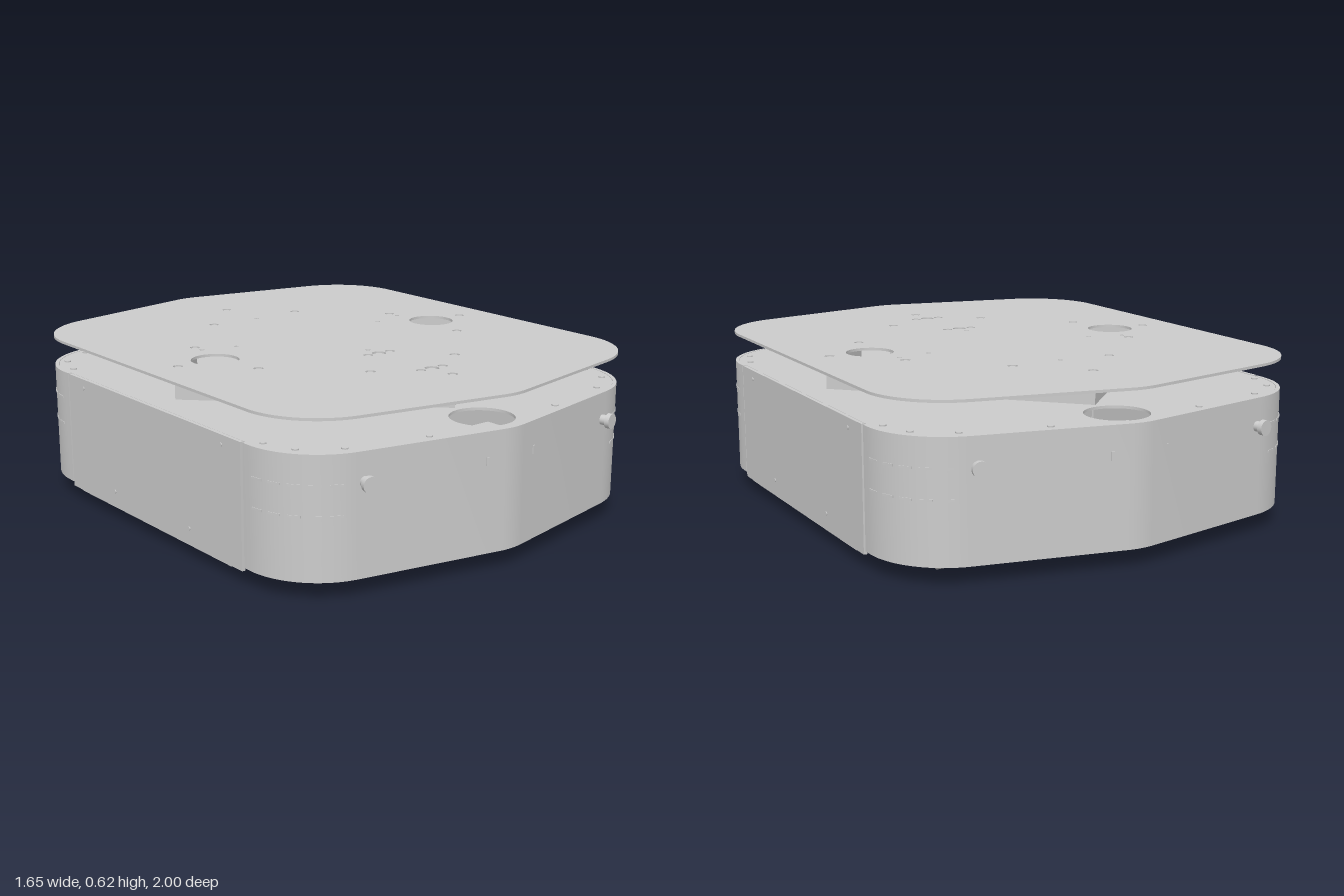
import * as THREE from 'three';
import { toCreasedNormals } from 'three/addons/utils/BufferGeometryUtils.js';

const grey = new THREE.MeshStandardMaterial({ color: 0xcccccc, side: THREE.DoubleSide });
const UP = new THREE.Vector3(0, 1, 0);
const HALF = 0.82, CORNER_R = 0.29, CORNER_Z = 0.602, TIP_R = 0.25, SLOPE = 0.199;

function add(parent, name, geometry, x = 0, y = 0, z = 0) {
  const mesh = new THREE.Mesh(geometry, grey);
  mesh.name = name;
  mesh.position.set(x, y, z);
  parent.add(mesh);
  return mesh;
}

function box(parent, name, w, h, d, x, y, z) {
  return add(parent, name, new THREE.BoxGeometry(w, h, d), x, y, z);
}

// cylinder whose axis points along dir
function rod(parent, name, r, length, pos, dir = UP, sides = 20) {
  const mesh = add(parent, name, new THREE.CylinderGeometry(r, r, length, sides), ...pos);
  mesh.quaternion.setFromUnitVectors(UP, dir.clone().normalize());
  return mesh;
}

// flat plate: shape drawn in (x, z), extruded downward from yTop
function slab(parent, name, shape, yTop, thickness) {
  const flat = new THREE.ExtrudeGeometry(shape, { depth: thickness, bevelEnabled: false, curveSegments: 28 });
  flat.rotateX(Math.PI / 2);
  return add(parent, name, toCreasedNormals(flat, Math.PI / 6), 0, yTop, 0);
}

function hole(shape, x, z, r) {
  shape.holes.push(new THREE.Path().absarc(x, z, r, 0, Math.PI * 2, true));
}

function arc(cx, cz, r, from, to, n) {
  return Array.from({ length: n + 1 }, (_, i) => {
    const a = from + (to - from) * i / n;
    return new THREE.Vector2(cx + r * Math.cos(a), cz + r * Math.sin(a));
  });
}

// front half of the outline, running from +x round the tip to -x
function frontCurve(inset, startZ) {
  const a = Math.PI / 2 - SLOPE;
  const right = arc(HALF - CORNER_R, CORNER_Z, CORNER_R - inset, 0, a, 20);
  const tip = arc(0, 1 - TIP_R, TIP_R - inset, a, Math.PI - a, 8);
  const left = right.map(p => new THREE.Vector2(-p.x, p.y)).reverse();
  return [new THREE.Vector2(HALF - inset, startZ), ...right, ...tip, ...left,
    new THREE.Vector2(inset - HALF, startZ)];
}

function fullOutline(inset) {
  const front = frontCurve(inset, 0.3);
  return new THREE.Shape([...front, ...front.map(p => new THREE.Vector2(-p.x, -p.y))]);
}

// mecanum wheel with its axle along x
function makeWheel(hand) {
  const wheel = new THREE.Group();
  wheel.name = 'wheel';
  const X = new THREE.Vector3(1, 0, 0);
  rod(wheel, 'wheelHub', 0.06, 0.15, [0, 0, 0], X, 28);
  for (const s of [-1, 1]) {
    rod(wheel, 'wheelSidePlate', 0.095, 0.012, [s * 0.068, 0, 0], X, 32);
    rod(wheel, 'axleNut', 0.025, 0.02, [s * 0.082, 0, 0], X, 6);
  }
  const profile = [[0, -0.075], [0.017, -0.075], [0.026, -0.035], [0.03, 0], [0.026, 0.035], [0.017, 0.075], [0, 0.075]]
    .map(p => new THREE.Vector2(...p));
  const roller = toCreasedNormals(new THREE.LatheGeometry(profile, 16), Math.PI / 4);
  for (let i = 0; i < 9; i++) {
    const t = Math.PI + i * Math.PI * 2 / 9;
    const m = add(wheel, 'roller', roller, 0, 0.104 * Math.cos(t), 0.104 * Math.sin(t));
    const axis = new THREE.Vector3(1, -hand * Math.sin(t), hand * Math.cos(t)).normalize();
    m.quaternion.setFromUnitVectors(UP, axis);
  }
  return wheel;
}

// sheet-metal corner of the diamond-shaped support frame, apex on +z
function makeBracket() {
  const bracket = new THREE.Group();
  bracket.name = 'supportBracket';
  const t = 0.013;
  const v = new THREE.Shape([[0, 0.705], [-0.222, 0.483], [-0.222 + t, 0.483 - t], [0, 0.705 - 2 * t],
    [0.222 - t, 0.483 - t], [0.222, 0.483]].map(p => new THREE.Vector2(...p)));
  slab(bracket, 'bracketWall', v, 0.61, 0.11);
  for (const s of [-1, 1]) {
    for (const x of [0.035, 0.2]) {
      rod(bracket, 'bracketScrew', 0.008, 0.006, [s * x, 0.565, 0.705 - x], new THREE.Vector3(s, 0, 1), 12);
    }
  }
  return bracket;
}

// bumper shell with its fittings, built for the front end
function makeBumper() {
  const bumper = new THREE.Group();
  bumper.name = 'bumper';
  slab(bumper, 'bumperShell', new THREE.Shape([...frontCurve(0, 0.575), ...frontCurve(0.014, 0.575).reverse()]), 0.5, 0.435);
  for (const s of [-1, 1]) {
    // sensor knob
    const out = new THREE.Vector3(s * Math.sin(SLOPE), 0, Math.cos(SLOPE));
    const at = d => [s * 0.565 + out.x * d, 0.397, 0.884 + out.z * d];
    rod(bumper, 'knobStem', 0.019, 0.05, at(0.015), out);
    rod(bumper, 'knobHead', 0.028, 0.018, at(0.04), out, 28);
    // slots near the tip
    const slot = box(bumper, 'tipSlot', 0.011, 0.03, 0.004, s * 0.11, 0.395, 0.984);
    slot.rotation.y = s * SLOPE;
    // vent slits round the corner
    for (const y of [0.395, 0.29]) {
      for (let i = 0; i < 5; i++) {
        const a = 0.15 + i * 0.24, r = CORNER_R;
        const slit = box(bumper, 'ventSlit', 0.045, 0.008, 0.004,
          s * (HALF - CORNER_R + r * Math.cos(a)), y, CORNER_Z + r * Math.sin(a));
        slit.rotation.y = s * (Math.PI / 2 - a);
      }
    }
    for (const [x, z] of [[0.77, 0.62], [0.73, 0.74], [0.6, 0.83], [0.3, 0.9]]) {
      rod(bumper, 'rimScrew', 0.012, 0.006, [s * x, 0.501, z], UP, 12);
    }
  }
  box(bumper, 'innerBlock', 0.16, 0.05, 0.1, 0, 0.43, 0.84);
  return bumper;
}

export function createModel() {
  const model = new THREE.Group();
  model.name = 'mobileRobotBase';

  // top deck with its openings
  const deck = fullOutline(0);
  const bolts = [];
  for (const s of [-1, 1]) {
    hole(deck, s * 0.53, 0, 0.088);
    bolts.push([0, s * 0.69], [s * 0.69, 0]);
    for (const q of [-1, 1]) bolts.push([s * 0.203, q * 0.485], [s * 0.483, q * 0.203]);
    for (const z of [0.295, 0.583]) bolts.push([s * 0.052, z]);
  }
  for (const [x, z] of [[0, -0.475], [0.35, -0.123], [-0.35, -0.123], [0.483, -0.155], [-0.483, -0.155], [0, 0.232]]) {
    hole(deck, x, z, 0.009);
  }
  for (const z of [0.295, 0.583]) hole(deck, 0, z, 0.026);
  for (const [x, z] of bolts) hole(deck, x, z, 0.018);
  slab(model, 'topDeck', deck, 0.62, 0.01);
  for (const [x, z] of bolts) rod(model, 'deckBolt', 0.012, 0.012, [x, 0.611, z], UP, 12);
  for (const z of [0.295, 0.583]) {
    rod(model, 'deckConnector', 0.02, 0.04, [0, 0.595, z]);
    box(model, 'connectorFlange', 0.14, 0.006, 0.07, 0, 0.607, z);
  }

  // lid of the body, open near both tips
  const lid = fullOutline(0.015);
  for (const s of [-1, 1]) hole(lid, 0, s * 0.84, 0.115);
  slab(model, 'bodyLid', lid, 0.499, 0.01);

  for (let i = 0; i < 4; i++) {
    const bracket = makeBracket();
    bracket.rotation.y = i * Math.PI / 2;
    model.add(bracket);
  }

  for (const turn of [0, Math.PI]) {
    const bumper = makeBumper();
    bumper.rotation.y = turn;
    model.add(bumper);
  }

  // side panels with seams, lips and screws
  for (const s of [-1, 1]) {
    box(model, 'sidePanel', 0.014, 0.45, 1.13, s * 0.815, 0.275, 0);
    box(model, 'panelLip', 0.05, 0.008, 1.0, s * 0.795, 0.05, 0);
    for (const q of [-1, 1]) {
      box(model, 'seamStrip', 0.01, 0.43, 0.08, s * 0.803, 0.28, q * 0.57);
      for (const [z, y] of [[0.25, 0.11], [0.455, 0.465]]) {
        rod(model, 'panelScrew', 0.007, 0.004, [s * 0.823, y, q * z], new THREE.Vector3(s, 0, 0), 12);
      }
    }
  }

  // underside: central tray, side trays and wheel floors
  box(model, 'centreTray', 0.82, 0.055, 0.94, 0, 0.0725, 0);
  for (const s of [-1, 1]) box(model, 'sideTray', 0.32, 0.055, 0.94, s * 0.6, 0.0725, 0);
  const floor = new THREE.Shape([[0.8, -0.62], [0.8, 0.62], [0.6, 0.85], [-0.6, 0.85],
    [-0.8, 0.62], [-0.8, -0.62], [-0.6, -0.85], [0.6, -0.85]].map(p => new THREE.Vector2(...p)));
  for (const s of [-1, 1]) {
    for (const q of [-1, 1]) {
      const x = s * 0.57, z = q * 0.67;
      floor.holes.push(new THREE.Path([[-1, -1], [-1, 1], [1, 1], [1, -1]]
        .map(([a, b]) => new THREE.Vector2(x + a * 0.105, z + b * 0.145))));
      const wheel = makeWheel(s * q);
      wheel.position.set(x, 0.134, z);
      model.add(wheel);
      rod(model, 'motor', 0.06, 0.3, [s * 0.32, 0.17, z], new THREE.Vector3(1, 0, 0), 24);
    }
  }
  slab(model, 'floorPlate', floor, 0.108, 0.01);
  return model;
}
